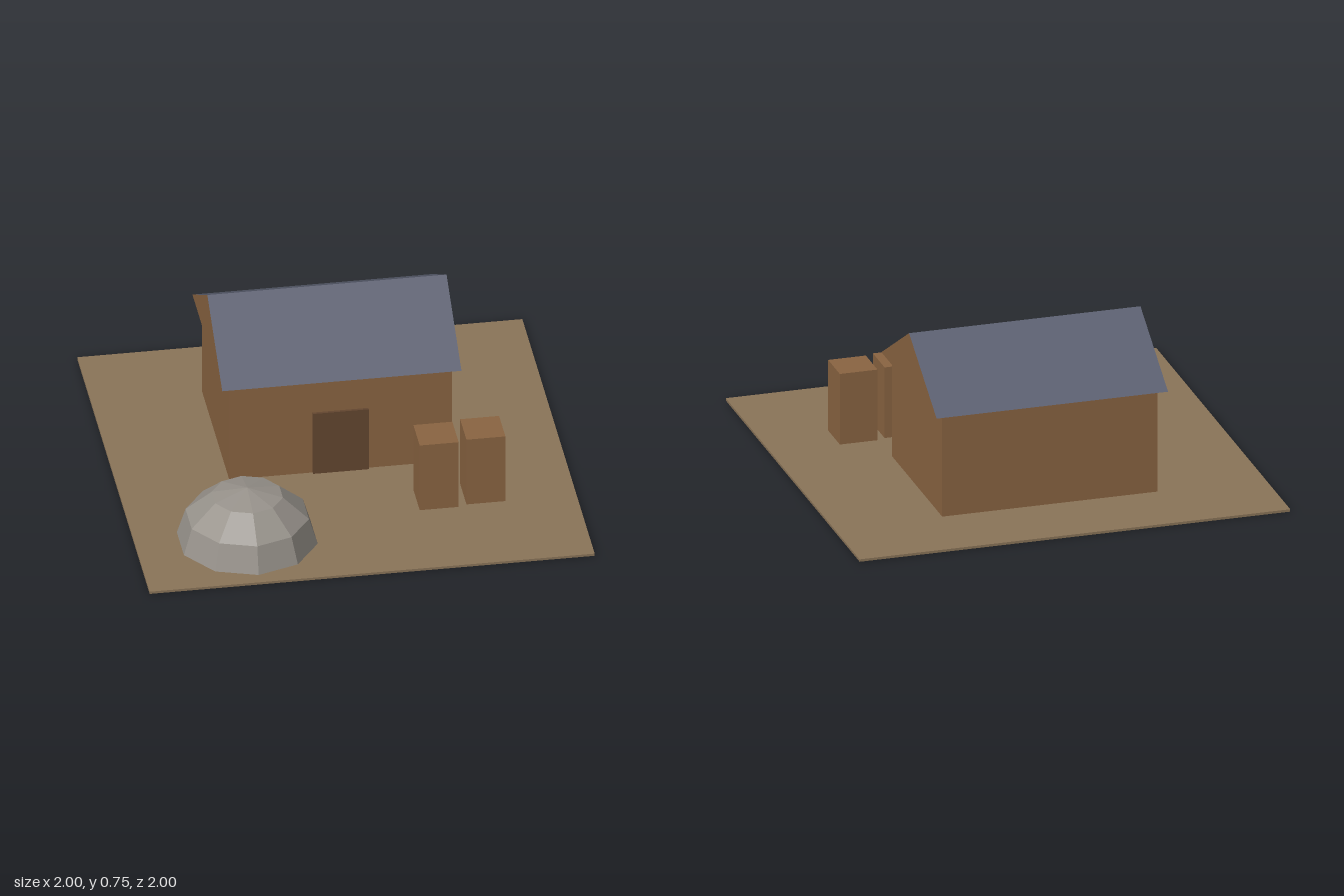
import * as THREE from 'three';

const mat = (name, color) => {
  const m = new THREE.MeshStandardMaterial({ color });
  m.name = name;
  return m;
};

export function createModel() {
  const model = new THREE.Group();
  model.name = 'homestead';
  const soil = mat('soil', 0x8b7559);
  const wood = mat('wood', 0x8b6542);
  const darkWood = mat('dark wood', 0x644730);
  const slate = mat('slate', 0x5b5f70);
  const stone = mat('stone', 0x97928b);

  const add = (name, geometry, material, x, y, z) => {
    const mesh = new THREE.Mesh(geometry, material);
    mesh.name = name;
    mesh.position.set(x, y, z);
    model.add(mesh);
    return mesh;
  };
  // Box standing on a given height
  const block = (name, material, w, h, d, x, z, base = 0) =>
    add(name, new THREE.BoxGeometry(w, h, d), material, x, base + h / 2, z);

  // Ground slab, its underside just above the footings
  block('ground', soil, 2, 0.0115, 2, 0, 0, 0.001);

  // House walls and door
  block('walls', wood, 1, 0.5, 0.75, 0, -0.25);
  block('door', darkWood, 0.25, 0.325, 0.025, 0, 0.125);

  // Gabled roof: wooden gable ends, slate slopes and underside
  const gable = new THREE.Shape([
    new THREE.Vector2(-0.4125, 0),
    new THREE.Vector2(0.4125, 0),
    new THREE.Vector2(0, 0.25),
  ]);
  const roof = new THREE.ExtrudeGeometry(gable, { depth: 1.075, bevelEnabled: false });
  roof.translate(0, 0, -0.5375).rotateY(Math.PI / 2);
  add('roof', roof, [wood, slate], 0, 0.5, -0.25);

  // Two crates beside the door
  block('crateInner', wood, 0.175, 0.35, 0.175, 0.38, 0.4275);
  block('crateOuter', wood, 0.175, 0.35, 0.175, 0.5925, 0.4125);

  // Faceted stone dome, open underneath
  const dome = new THREE.SphereGeometry(0.32, 10, 3, 0, Math.PI * 2, 0, Math.PI / 2)
    .rotateY(Math.PI / 2)
    .scale(1, 0.86, 1)
    .toNonIndexed();
  dome.computeVertexNormals();
  add('stoneDome', dome, stone, -0.5, 0, 0.6225);

  return model;
}
